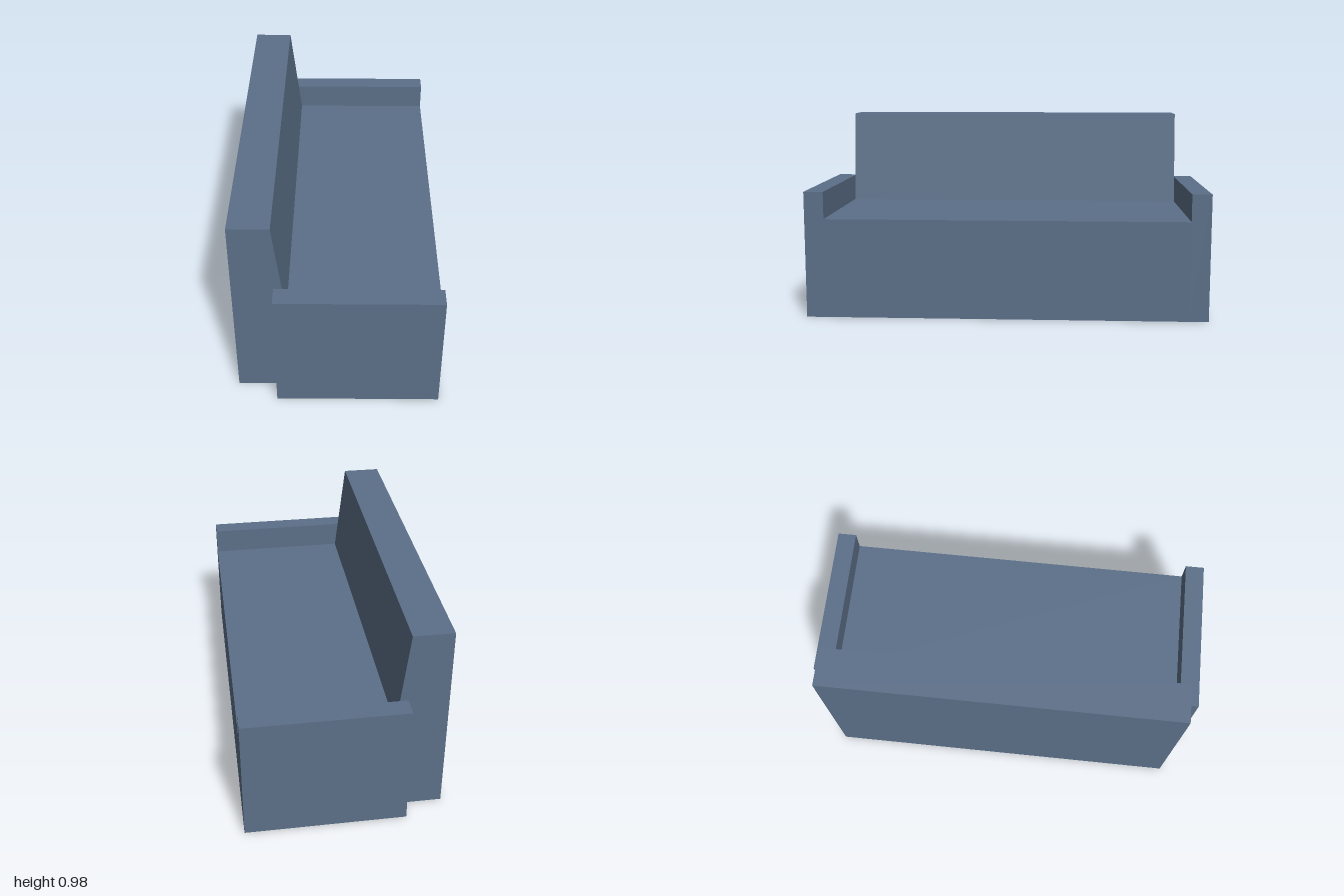
import * as THREE from 'three';

export function createModel() {
  const sofa = new THREE.Group();
  sofa.name = 'sofa';
  const fabric = new THREE.MeshStandardMaterial({ color: 0x5c7089 });
  fabric.name = 'slate blue fabric';

  const back = -0.489, front = 0.489;
  const armBack = -0.295, armTop = 0.633;
  const seatTop = 0.497, backTop = 0.982;
  const innerZ = 0.903, outerZ = 1;

  // Extrudes a side profile (x, y) between two z positions
  function addProfile(name, points, z0, z1) {
    const shape = new THREE.Shape(points.map(([x, y]) => new THREE.Vector2(x, y)));
    const geometry = new THREE.ExtrudeGeometry(shape, { depth: z1 - z0, bevelEnabled: false });
    geometry.translate(0, 0, z0);
    const mesh = new THREE.Mesh(geometry, fabric);
    mesh.name = name;
    sofa.add(mesh);
  }

  // Seat block and backrest with its sloping front, as one solid
  addProfile('seatAndBackrest', [
    [back, 0], [front, 0], [front, seatTop],
    [-0.239, seatTop], [armBack, backTop], [back, backTop],
  ], -innerZ, innerZ);

  // Armrests at both ends, set forward of the back
  const arm = [[armBack, 0], [front, 0], [front, armTop], [armBack, armTop]];
  addProfile('leftArmrest', arm, innerZ, outerZ);
  addProfile('rightArmrest', arm, -outerZ, -innerZ);

  return sofa;
}
